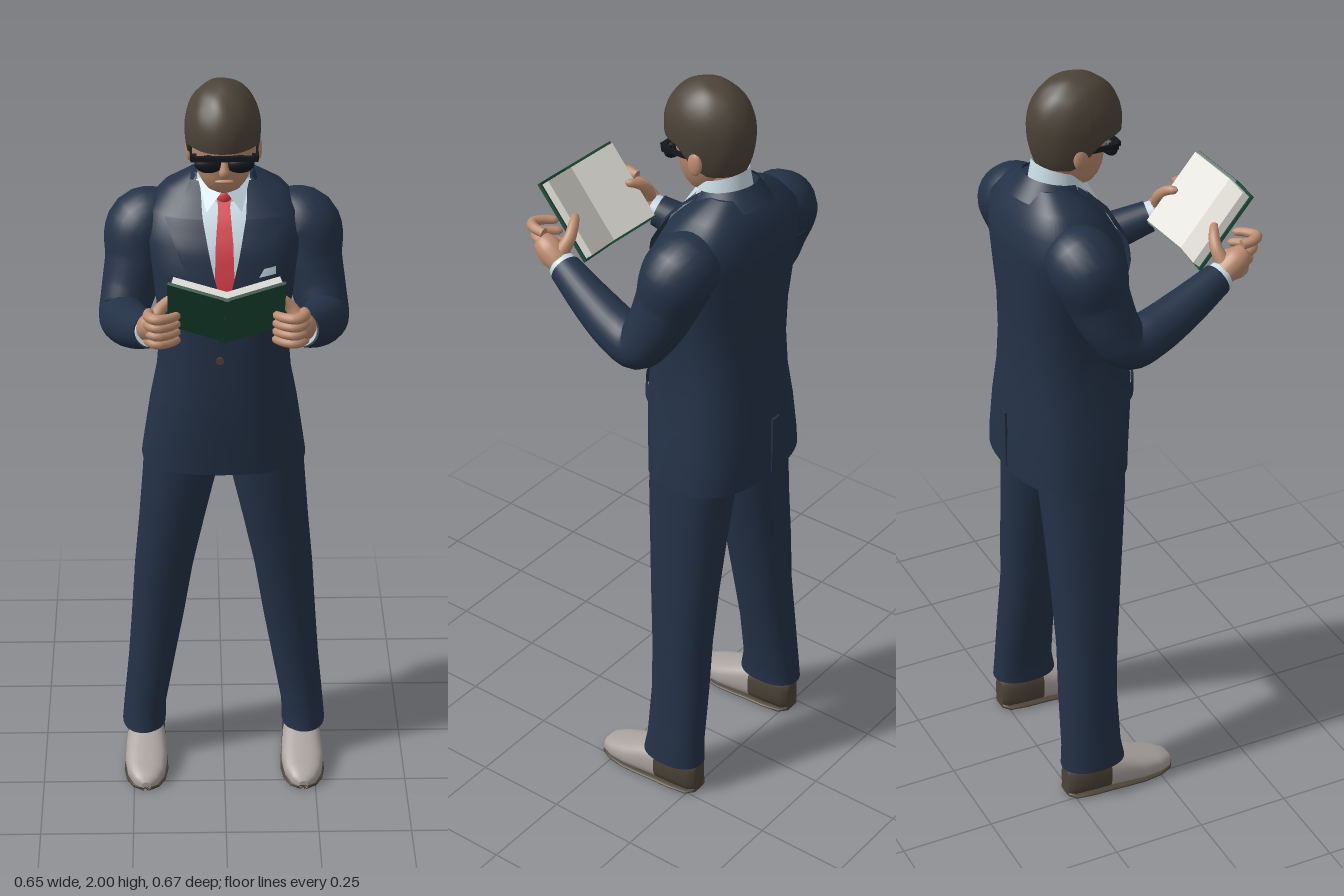
import * as THREE from 'three';

const mat = (name, color, side = THREE.FrontSide) => {
  const m = new THREE.MeshStandardMaterial({ color, side });
  m.name = name;
  return m;
};
const V = (x, y, z) => new THREE.Vector3(x, y, z);
const spow = (v, e) => Math.sign(v) * Math.abs(v) ** e;

// Closed skin over a list of equal-length rings, with flat caps
function skin(rings) {
  const pos = [], idx = [], n = rings[0].length;
  const push = (p) => pos.push(p.x, p.y, p.z) / 3 - 1;
  rings.forEach((r) => r.forEach(push));
  for (let i = 0; i < rings.length - 1; i++) for (let j = 0; j < n; j++) {
    const k = (j + 1) % n, a = i * n, b = a + n;
    idx.push(a + j, b + j, a + k, b + j, b + k, a + k);
  }
  [rings[0], rings.at(-1)].forEach((r, end) => {
    const mid = r.reduce((s, p) => s.add(p), V(0, 0, 0)).divideScalar(n);
    const c = push(mid), first = r.map(push)[0];
    for (let j = 0; j < n; j++) {
      const k = (j + 1) % n;
      idx.push(c, first + (end ? k : j), first + (end ? j : k));
    }
  });
  return build(pos, idx);
}
function build(pos, idx) {
  const g = new THREE.BufferGeometry();
  g.setAttribute('position', new THREE.Float32BufferAttribute(pos, 3));
  g.setIndex(idx);
  g.computeVertexNormals();
  return g;
}
// Upright loft; sections are [y, centreX, halfWidth, frontZ, backZ]
const loft = (sections, p = 2, n = 48) => skin(sections.map(([y, cx, rx, zf, zb]) =>
  Array.from({ length: n }, (_, j) => {
    const a = j / n * Math.PI * 2;
    return V(cx + rx * spow(Math.cos(a), 2 / p), y, (zf + zb) / 2 + (zf - zb) / 2 * spow(Math.sin(a), 2 / p));
  })));
// Tube of varying radius; points are [x, y, z, radius]
function sweep(pts, steps = 24, n = 16) {
  const curve = new THREE.CatmullRomCurve3(pts.map((p) => V(p[0], p[1], p[2])));
  const radii = new THREE.CatmullRomCurve3(pts.map((p, i) => V(i, p[3], 0)));
  const f = curve.computeFrenetFrames(steps);
  return skin(Array.from({ length: steps + 1 }, (_, i) => {
    const t = curve.getUtoTmapping(i / steps), c = curve.getPoint(t), r = radii.getPoint(t).y;
    return Array.from({ length: n }, (_, j) => {
      const a = j / n * Math.PI * 2;
      return c.clone().addScaledVector(f.normals[i], r * Math.cos(a)).addScaledVector(f.binormals[i], -r * Math.sin(a));
    });
  }));
}
const ball = (x, y, z, rx, ry, rz) => new THREE.SphereGeometry(1, 24, 16).scale(rx, ry, rz).translate(x, y, z);
const box = (w, h, d, x, y, z) => new THREE.BoxGeometry(w, h, d).translate(x, y, z);
function mirrored(geo) {
  const g = geo.clone().scale(-1, 1, 1), ix = g.index;
  for (let i = 0; i < ix.count; i += 3) {
    const b = ix.getX(i + 1);
    ix.setX(i + 1, ix.getX(i + 2));
    ix.setX(i + 2, b);
  }
  return g;
}

// Jacket body, and the depth of its front for everything laid on it
const JP = 2.5;
const jacket = [
  [0.945, 0, 0.218, -0.02, -0.33], [1.0, 0, 0.21, -0.015, -0.33], [1.1, 0, 0.195, -0.005, -0.325],
  [1.2, 0, 0.176, 0, -0.315], [1.3, 0, 0.168, 0, -0.31], [1.4, 0, 0.175, 0, -0.31],
  [1.5, 0, 0.193, -0.01, -0.315], [1.58, 0, 0.208, -0.03, -0.318], [1.65, 0, 0.198, -0.07, -0.31],
  [1.7, 0, 0.15, -0.12, -0.28], [1.735, 0, 0.085, -0.16, -0.25]];
function frontZ(x, y) {
  let i = 0;
  while (i < jacket.length - 2 && y > jacket[i + 1][0]) i++;
  const A = jacket[i], B = jacket[i + 1], t = THREE.MathUtils.clamp((y - A[0]) / (B[0] - A[0]), 0, 1);
  const [, , rx, zf, zb] = A.map((a, k) => a + (B[k] - a) * t);
  return (zf + zb) / 2 + (zf - zb) / 2 * Math.max(0, 1 - Math.abs(x / rx) ** JP) ** (1 / JP);
}
// Cloth laid on the jacket front; rows run downward as [y, x0, x1]
function patch(rows, off, slope = 0) {
  const pos = [], idx = [], cols = 8, sub = 5, total = (rows.length - 1) * sub;
  for (let i = 0; i <= total; i++) {
    const k = Math.min(Math.floor(i / sub), rows.length - 2), t = i / sub - k;
    const [y, x0, x1] = rows[k].map((a, c) => a + (rows[k + 1][c] - a) * t);
    for (let j = 0; j <= cols; j++) {
      const x = x0 + (x1 - x0) * j / cols, yy = y + slope * x;
      pos.push(x, yy, frontZ(x, yy) + off);
      if (i < total && j < cols) {
        const a = i * (cols + 1) + j, b = a + cols + 1;
        idx.push(a, b, a + 1, b, b + 1, a + 1);
      }
    }
  }
  return build(pos, idx);
}

export function createModel() {
  const D = THREE.DoubleSide;
  const suit = mat('navy suit', 0x243247, D), shirt = mat('pale blue shirt', 0xcde0ea, D);
  const tie = mat('red tie', 0xd8404a, D), skinTone = mat('skin', 0xbd8d70);
  const hairCol = mat('dark brown', 0x4c4338), black = mat('black glasses', 0x14171d);
  const shoeCol = mat('light grey shoe', 0xaaa3a0), green = mat('green cover', 0x1d4a38);
  const paper = mat('paper', 0xd9d7d0), buttonCol = mat('brown button', 0x5a4038);

  const model = new THREE.Group();
  model.name = 'readingMan';
  const add = (name, geo, m, parent = model) => {
    const mesh = new THREE.Mesh(geo, m);
    mesh.name = name;
    parent.add(mesh);
    return mesh;
  };
  const pair = (name, geo, m) => { add(name + 'Left', geo, m); add(name + 'Right', mirrored(geo), m); };

  // Jacket with lapels, flaps and buttons
  add('jacket', loft(jacket, JP, 64), suit);
  add('shirtFront', patch([[1.725, -0.07, 0.07], [1.66, -0.058, 0.058], [1.55, -0.035, 0.035], [1.42, -0.003, 0.003]], 0.005), shirt);
  add('tie', patch([[1.71, -0.022, 0.022], [1.675, -0.015, 0.015], [1.6, -0.022, 0.022], [1.47, -0.026, 0.026], [1.42, -0.004, 0.004]], 0.011), tie);
  add('tieKnot', ball(0, 1.695, -0.108, 0.021, 0.022, 0.016), tie);
  pair('lapel', patch([[1.725, 0.06, 0.085], [1.665, 0.056, 0.12], [1.65, 0.054, 0.15], [1.55, 0.034, 0.11], [1.41, 0, 0.02]], 0.014), suit);
  add('frontOverlap', patch([[1.43, -0.02, 0.03], [1.2, -0.03, 0.03], [0.95, -0.035, 0.03]], 0.006), suit);
  pair('pocketFlap', patch([[1.195, 0.065, 0.165], [1.15, 0.065, 0.17]], 0.01, -0.06), suit);
  add('pocketSquare', patch([[1.525, 0.05, 0.13], [1.505, 0.05, 0.13]], 0.009, 0.08), shirt);
  add('breastPocket', patch([[1.506, 0.045, 0.135], [1.48, 0.045, 0.135]], 0.011, 0.08), suit);
  for (const y of [1.38, 1.29]) {
    add('button', new THREE.CylinderGeometry(0.01, 0.01, 0.006, 16).rotateX(Math.PI / 2).translate(-0.012, y, 0.009), buttonCol);
  }
  add('backVent', box(0.03, 0.16, 0.006, -0.01, 1.03, -0.33), suit);
  const tilt = (g, k) => {
    const p = g.attributes.position;
    for (let i = 0; i < p.count; i++) p.setY(i, p.getY(i) - k * p.getZ(i));
    g.computeVertexNormals();
    return g;
  };
  add('jacketCollar', tilt(new THREE.CylinderGeometry(0.076, 0.112, 0.055, 40, 1, true, 1.2, Math.PI * 2 - 2.4), 0.2).translate(0, 1.715, -0.178), suit);

  // Shirt collar and neck
  add('neck', new THREE.CylinderGeometry(0.054, 0.058, 0.16, 32).translate(0, 1.74, -0.165), skinTone);
  add('shirtCollar', tilt(new THREE.CylinderGeometry(0.062, 0.072, 0.06, 40, 1, true), 0.35).translate(0, 1.735, -0.168), shirt);
  pair('collarPoint', build([0.004, 1.715, -0.096, 0.066, 1.735, -0.14, 0.045, 1.665, -0.075], [0, 2, 1]), shirt);

  // Sleeves, cuffs and hands
  pair('sleeve', sweep([[0.13, 1.6, -0.2, 0.072], [0.205, 1.588, -0.192, 0.093], [0.226, 1.5, -0.165, 0.081],
    [0.246, 1.425, -0.137, 0.071], [0.26, 1.374, -0.1, 0.063], [0.25, 1.383, -0.035, 0.061],
    [0.224, 1.412, 0.065, 0.054], [0.19, 1.455, 0.182, 0.042]], 56, 28), suit);
  pair('cuff', sweep([[0.192, 1.452, 0.172, 0.038], [0.186, 1.46, 0.197, 0.038]], 2, 24), shirt);
  pair('palm', sweep([[0.188, 1.457, 0.185, 0.027], [0.188, 1.474, 0.21, 0.033], [0.186, 1.495, 0.24, 0.034],
    [0.186, 1.51, 0.262, 0.024], [0.186, 1.515, 0.272, 0.006]], 20, 20), skinTone);
  for (let i = 0; i < 4; i++) {
    const y = 1.54 - i * 0.027, z = (y - 1.5) * 0.45;
    pair('finger', sweep([[0.19, y - 0.005, 0.232 + z, 0.013], [0.19, y, 0.265 + z, 0.0135], [0.17, y, 0.285 + z, 0.013],
      [0.14, y - 0.002, 0.272 + z, 0.012], [0.12, y - 0.004, 0.25 + z, 0.01], [0.115, y - 0.004, 0.244 + z, 0.003]], 18, 12), skinTone);
  }
  pair('thumb', sweep([[0.185, 1.485, 0.205, 0.02], [0.158, 1.525, 0.194, 0.016], [0.128, 1.553, 0.203, 0.013],
    [0.108, 1.56, 0.215, 0.01], [0.102, 1.562, 0.219, 0.003]], 16, 12), skinTone);

  // Trousers
  pair('trouserLeg', loft([[0.094, 0.223, 0.06, -0.098, -0.276], [0.15, 0.22, 0.058, -0.108, -0.272],
    [0.3, 0.199, 0.064, -0.11, -0.268], [0.45, 0.18, 0.072, -0.1, -0.262], [0.6, 0.163, 0.079, -0.085, -0.266],
    [0.75, 0.14, 0.088, -0.067, -0.27], [0.9, 0.117, 0.099, -0.05, -0.276], [1.0, 0.11, 0.1, -0.05, -0.28]], 2.2, 36), suit);

  // Shoes: sections run from toe to heel as [z, halfWidth, height]
  const shoe = [[0.047, 0.012, 0.026], [0.034, 0.034, 0.042], [0, 0.051, 0.056], [-0.05, 0.058, 0.074], [-0.1, 0.056, 0.095],
    [-0.15, 0.052, 0.112], [-0.2, 0.05, 0.12], [-0.25, 0.042, 0.108], [-0.266, 0.022, 0.085]];
  const shoeLoft = (list, grow, cap) => skin(list.map(([z, rx, h]) => Array.from({ length: 28 }, (_, j) => {
    const a = j / 28 * Math.PI * 2, hh = Math.min(h, cap);
    return V(0.217 + (rx + grow) * spow(Math.cos(a), 0.75), hh / 2 * (1 + spow(Math.sin(a), 0.75)), z);
  })));
  pair('shoeFront', shoeLoft(shoe.slice(0, 6), 0, 1), shoeCol);
  pair('shoeHeel', shoeLoft(shoe.slice(5), 0.001, 1), hairCol);
  pair('sole', shoeLoft(shoe, 0.003, 0.014), hairCol);

  // Head and face
  add('head', loft([[1.71, 0, 0.022, -0.095, -0.14], [1.722, 0, 0.042, -0.075, -0.16], [1.74, 0, 0.056, -0.062, -0.18],
    [1.765, 0, 0.069, -0.053, -0.2], [1.8, 0, 0.08, -0.047, -0.215], [1.85, 0, 0.086, -0.035, -0.222],
    [1.9, 0, 0.085, -0.032, -0.222], [1.95, 0, 0.068, -0.06, -0.19]], 2.15, 40), skinTone);
  add('nose', sweep([[0, 1.825, -0.045, 0.008], [0, 1.8, -0.038, 0.011], [0, 1.784, -0.037, 0.014], [0, 1.774, -0.046, 0.006]], 12, 14), skinTone);
  add('mouth', ball(0, 1.755, -0.058, 0.024, 0.006, 0.008), skinTone);
  pair('ear', ball(0.086, 1.812, -0.142, 0.011, 0.031, 0.02), skinTone);

  // Hair cap trimmed along a hairline: high over the brow, low at the nape
  const hair = new THREE.SphereGeometry(1, 56, 44), hp = hair.attributes.position;
  for (let i = 0; i < hp.count; i++) {
    const x = hp.getX(i), y = hp.getY(i), z = hp.getZ(i);
    const wave = 1 + 0.01 * Math.sin(9 * x + 4 * y) * Math.sin(7 * z + 3);
    const pz = -0.121 + z * 0.121 * wave;
    const line = 1.775 + 0.073 * THREE.MathUtils.smoothstep(pz, -0.175, -0.07);
    hp.setXYZ(i, -0.003 + x * (0.096 + 0.004 * y) * wave, Math.max(line, 1.875 + y * (y > 0 ? 0.125 * wave : 0.18)), pz);
  }
  hair.computeVertexNormals();
  add('hair', hair, hairCol);

  // Sunglasses
  pair('lens', ball(0.039, 1.807, -0.045, 0.036, 0.023, 0.018), black);
  add('browBar', box(0.15, 0.012, 0.014, 0, 1.824, -0.036), black);
  pair('templeArm', box(0.006, 0.013, 0.1, 0.083, 1.824, -0.09), black);
  pair('hinge', box(0.016, 0.016, 0.02, 0.077, 1.822, -0.05), black);

  // Open book tipped back toward the reader
  const book = new THREE.Group();
  book.name = 'book';
  book.position.set(0, 1.52, 0.265);
  book.rotation.x = 0.694;
  for (const s of [1, -1]) {
    const half = new THREE.Group();
    half.name = s > 0 ? 'bookHalfLeft' : 'bookHalfRight';
    half.rotation.y = s * 0.31;
    add('cover', box(0.15, 0.228, 0.008, s * 0.075, 0, 0), green, half);
    add('pages', box(0.143, 0.215, 0.02, s * 0.0715, 0, -0.014), paper, half);
    book.add(half);
  }
  add('spine', box(0.012, 0.228, 0.006, 0, 0, 0.002), green, book);
  model.add(book);
  return model;
}
